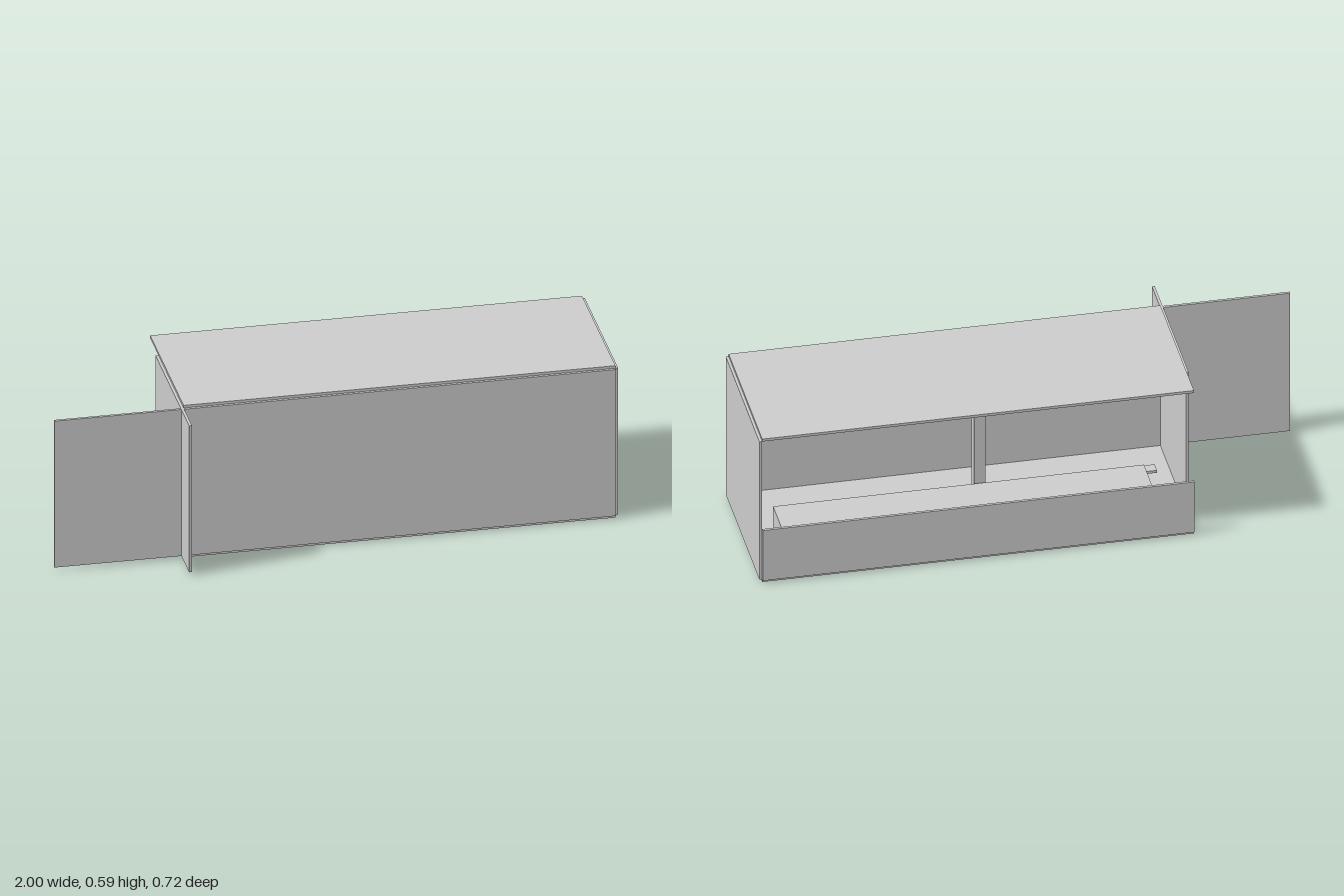
import * as THREE from 'three';

export function createModel() {
  const model = new THREE.Group();
  const material = new THREE.MeshStandardMaterial({ color: 0xcccccc, flatShading: true });

  // Box given by its extents along each axis
  function slab(name, [x0, x1], [y0, y1], [z0, z1]) {
    const mesh = new THREE.Mesh(new THREE.BoxGeometry(x1 - x0, y1 - y0, z1 - z0), material);
    mesh.position.set((x0 + x1) / 2, (y0 + y1) / 2, (z0 + z1) / 2);
    mesh.name = name;
    model.add(mesh);
  }

  const length = [-0.54, 0.99];
  const depth = [-0.348, 0.217];
  const wallHeight = [0.011, 0.576];

  // Floor and roof
  slab('floor', length, [0, 0.011], depth);
  slab('roof', length, [0.576, 0.586], depth);

  // Long front wall, continuing past the room as a screen
  slab('frontWall', [-0.54, 0.99], wallHeight, [0.217, 0.227]);
  slab('screenWall', [-1, -0.55], wallHeight, [0.217, 0.227]);

  // End walls: one closed, one set forward so that it leaves an entrance
  slab('endWall', [0.99, 1], wallHeight, depth);
  slab('entranceWall', [-0.55, -0.54], wallHeight, [-0.21, 0.359]);

  // Low parapet along the open back
  slab('parapet', length, [0.011, 0.217], [-0.358, -0.348]);

  // Counter behind the parapet with a small ledge at its end
  slab('counter', [-0.4, 0.914], [0.011, 0.19], [-0.348, -0.17]);
  slab('counterLedge', [-0.44, -0.4], [0.17, 0.18], [-0.2, -0.16]);

  // Post from floor to roof
  slab('post', [0.16, 0.2], wallHeight, [-0.163, -0.12]);

  return model;
}
